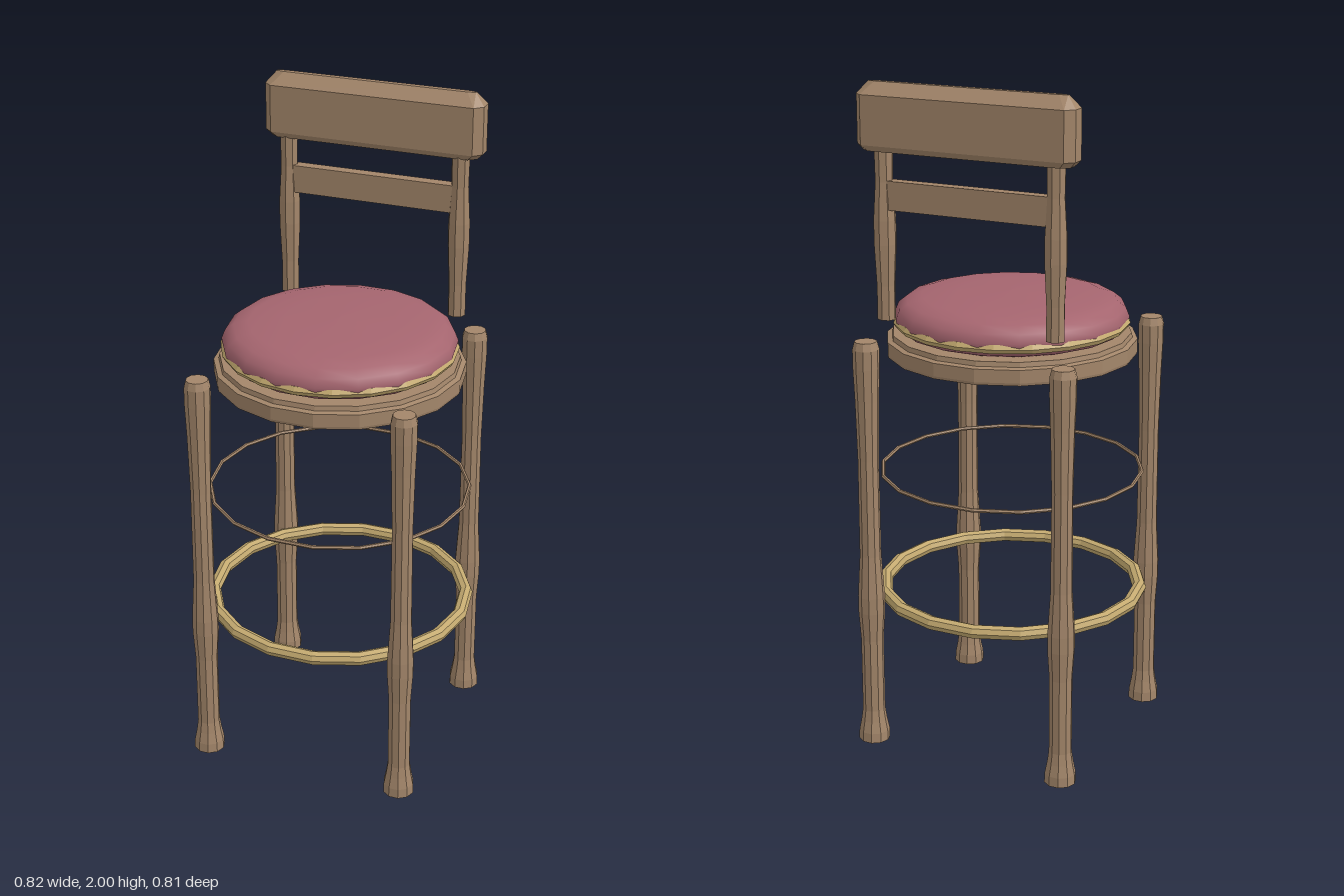
import * as THREE from 'three';

const wood = new THREE.MeshStandardMaterial({ color: 0xa3866a });
wood.name = 'wood';
const brass = new THREE.MeshStandardMaterial({ color: 0xc4aa70 });
brass.name = 'brass';
const fabric = new THREE.MeshStandardMaterial({ color: 0xa5656f });
fabric.name = 'fabric';

// Faceted copy of a geometry
function faceted(geometry) {
  const g = geometry.index ? geometry.toNonIndexed() : geometry;
  g.computeVertexNormals();
  return g;
}

function part(name, geometry, material, x = 0, y = 0, z = 0) {
  const mesh = new THREE.Mesh(geometry, material);
  mesh.name = name;
  mesh.position.set(x, y, z);
  return mesh;
}

// Lathe from [radius, height] pairs, listed bottom to top
function turned(profile, sides) {
  const points = profile.map(([r, y]) => new THREE.Vector2(r, y));
  return new THREE.LatheGeometry(points, sides).rotateY(Math.PI / 2);
}

function hoop(radius, tube, sides, segments) {
  return faceted(new THREE.TorusGeometry(radius, tube, sides, segments).rotateX(Math.PI / 2));
}

// Chamfered block from octagonal loops: [halfWidth, halfDepth, height]
function chamferedBlock(levels) {
  const positions = [], index = [];
  for (const [w, d, y] of levels) {
    const cx = 0.024, cz = d * 0.55;
    const loop = [[w, d - cz], [w - cx, d], [cx - w, d], [-w, d - cz],
      [-w, cz - d], [cx - w, -d], [w - cx, -d], [w, cz - d]];
    for (const [x, z] of loop) positions.push(x, y, z);
  }
  for (let l = 0; l < levels.length - 1; l++) {
    for (let i = 0; i < 8; i++) {
      const a = l * 8 + i, b = l * 8 + (i + 1) % 8;
      index.push(a, a + 8, b, b, a + 8, b + 8);
    }
  }
  const top = (levels.length - 1) * 8;
  for (let i = 1; i < 7; i++) {
    index.push(0, i, i + 1);
    index.push(top, top + i + 1, top + i);
  }
  const g = new THREE.BufferGeometry();
  g.setAttribute('position', new THREE.Float32BufferAttribute(positions, 3));
  g.setIndex(index);
  return faceted(g);
}

export function createModel() {
  const stool = new THREE.Group();
  stool.name = 'barStool';

  // Four turned legs
  const legShape = faceted(turned([[0, 0], [0.047, 0], [0.046, 0.03], [0.039, 0.065], [0.034, 0.1],
    [0.034, 0.33], [0.04, 0.42], [0.04, 0.47], [0.032, 0.6], [0.031, 0.9], [0.035, 1.08],
    [0.039, 1.18], [0.039, 1.235], [0.033, 1.258], [0, 1.258]], 10));
  for (const [side, x] of [['Left', 0.313], ['Right', -0.313]]) {
    stool.add(part(`front${side}Leg`, legShape, wood, x, 0, 0.313));
    stool.add(part(`back${side}Leg`, legShape, wood, x, 0, -0.313));
  }

  // Hoops around the legs
  stool.add(part('footRing', hoop(0.39, 0.021, 8, 18), brass, 0, 0.455, 0));
  stool.add(part('stretcherRing', hoop(0.391, 0.006, 6, 18), wood, 0, 0.828, 0));

  // Seat base, cushion and piping
  const base = [[0, 1.192], [0.368, 1.192], [0.37, 1.2], [0.37, 1.238],
    [0.355, 1.242], [0.352, 1.256], [0, 1.256]];
  stool.add(part('seatBase', faceted(turned(base, 18)), wood));
  const cushion = [[0, 1.256], [0.3, 1.256], [0.325, 1.265], [0.342, 1.285], [0.345, 1.305],
    [0.335, 1.33], [0.31, 1.35], [0.265, 1.363], [0.16, 1.371], [0, 1.375]];
  stool.add(part('seatCushion', turned(cushion, 18), fabric));
  stool.add(part('cushionPiping', hoop(0.334, 0.015, 6, 20), brass, 0, 1.289, 0));

  // Backrest: two posts, a crossbar and a chamfered top rail
  const postShape = faceted(turned([[0, 1.32], [0.027, 1.32], [0.027, 1.42], [0.033, 1.54],
    [0.033, 1.61], [0.026, 1.72], [0.028, 1.83], [0, 1.83]], 8));
  stool.add(part('leftBackPost', postShape, wood, 0.267, 0, -0.268));
  stool.add(part('rightBackPost', postShape, wood, -0.267, 0, -0.268));
  stool.add(part('backCrossbar', faceted(new THREE.BoxGeometry(0.5, 0.083, 0.036)), wood, 0, 1.682, -0.268));
  const rail = chamferedBlock([[0.318, 0.032, 1.808], [0.335, 0.043, 1.825],
    [0.335, 0.043, 1.965], [0.305, 0.009, 2]]);
  stool.add(part('topRail', rail, wood, 0, 0, -0.276));

  return stool;
}
